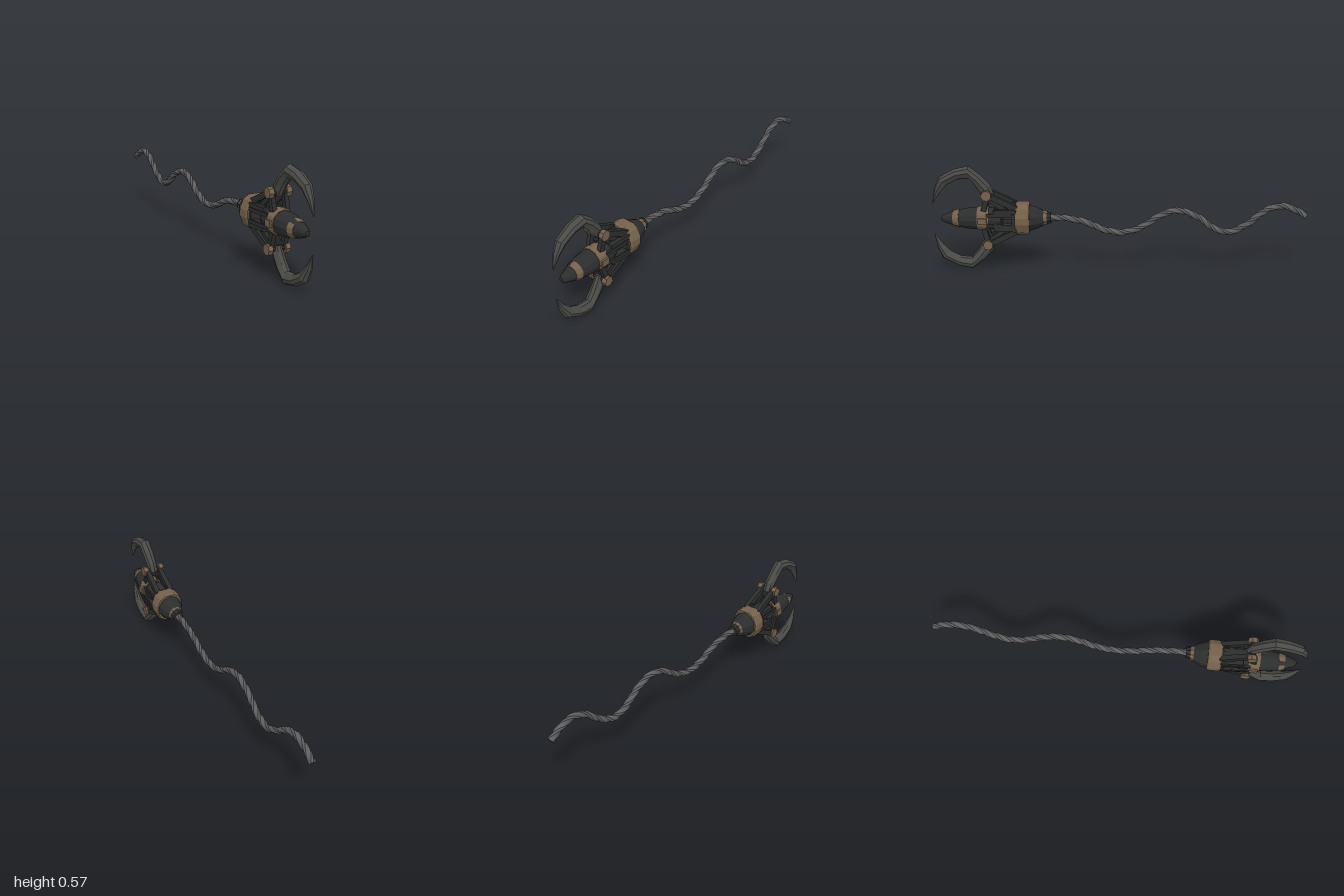
import * as THREE from 'three';

const mat = (name, color, double) => {
  const m = new THREE.MeshStandardMaterial({ color, flatShading: true });
  m.name = name;
  if (double) m.side = THREE.DoubleSide;
  return m;
};

export function createModel() {
  const dark = mat('dark iron', 0x2c2d2d);
  const steel = mat('claw steel', 0x4a4b47);
  const bronze = mat('worn bronze', 0x74614a, true);
  const cord = mat('rope grey', 0x5e5e60);

  const root = new THREE.Group();
  root.name = 'grapplingHook';
  const head = new THREE.Group();
  head.name = 'hookHead';
  head.position.y = 0.288;
  root.add(head);

  const add = (parent, name, geo, material) => {
    const m = new THREE.Mesh(geo, material);
    m.name = name;
    parent.add(m);
    return m;
  };

  // Turned part along z from [z, radius] pairs
  const turned = (pairs, sides = 10, start = 0, arc = Math.PI * 2) =>
    new THREE.LatheGeometry(pairs.map(([z, r]) => new THREE.Vector2(r, z)), sides, start, arc).rotateX(Math.PI / 2);

  // Skin over rings of points, counter-clockwise about the direction of travel
  const loft = (rings) => {
    const pos = [];
    const tri = (...ps) => ps.forEach((p) => pos.push(p.x, p.y, p.z));
    const n = rings[0].length;
    for (let i = 0; i < rings.length - 1; i++) {
      for (let j = 0; j < n; j++) {
        const k = (j + 1) % n;
        const [a, b, c, d] = [rings[i][j], rings[i][k], rings[i + 1][k], rings[i + 1][j]];
        tri(a, b, c);
        tri(a, c, d);
      }
    }
    const last = rings[rings.length - 1];
    for (let j = 1; j < n - 1; j++) {
      tri(rings[0][0], rings[0][j + 1], rings[0][j]);
      tri(last[0], last[j], last[j + 1]);
    }
    const g = new THREE.BufferGeometry();
    g.setAttribute('position', new THREE.Float32BufferAttribute(pos, 3));
    g.computeVertexNormals();
    return g;
  };

  // Square bar between two points
  const bar = (parent, name, a, b, w, h, material) => {
    const A = new THREE.Vector3(...a), B = new THREE.Vector3(...b);
    const m = add(parent, name, new THREE.BoxGeometry(w, h, A.distanceTo(B)), material);
    m.position.copy(A).add(B).multiplyScalar(0.5);
    m.quaternion.setFromUnitVectors(new THREE.Vector3(0, 0, 1), B.sub(A).normalize());
    return m;
  };

  // Three-strand twisted rope
  const path = new THREE.CatmullRomCurve3([
    [0.288, 0.42], [0.289, 0.33], [0.268, 0.2], [0.218, 0.08], [0.206, -0.02], [0.238, -0.12], [0.303, -0.22],
    [0.326, -0.31], [0.293, -0.41], [0.223, -0.51], [0.206, -0.59], [0.248, -0.68], [0.326, -0.78],
    [0.35, -0.86], [0.327, -0.94], [0.292, -0.995],
  ].map(([y, z]) => new THREE.Vector3(0, y, z)));
  const ropeRings = [];
  const side = new THREE.Vector3(1, 0, 0);
  for (let i = 0; i <= 130; i++) {
    const p = path.getPointAt(i / 130);
    const up = path.getTangentAt(i / 130).cross(side);
    ropeRings.push(Array.from({ length: 9 }, (_, j) => {
      const a = (j / 9) * Math.PI * 2 + i * 0.29;
      const r = j % 3 ? 0.0185 : 0.0145;
      return p.clone().addScaledVector(side, Math.cos(a) * r).addScaledVector(up, Math.sin(a) * r);
    }));
  }
  add(root, 'rope', loft(ropeRings), cord);

  // Rear socket
  add(head, 'ropeSleeve', turned([[0.37, 0], [0.37, 0.03], [0.4, 0.036], [0.4, 0]]), dark);
  add(head, 'rearCollar', turned([[0.392, 0], [0.392, 0.038], [0.415, 0.043], [0.415, 0]]), bronze);
  add(head, 'rearCone', turned([[0.41, 0], [0.41, 0.042], [0.445, 0.06], [0.485, 0.072], [0.575, 0.07], [0.575, 0]]), dark);

  // Faceted bronze band
  const quarter = [[0.082, 0.018], [0.062, 0.064], [0.032, 0.083]];
  const outline = [
    ...quarter, ...quarter.map(([x, y]) => [-x, y]).reverse(),
    ...quarter.map(([x, y]) => [-x, -y]), ...quarter.map(([x, y]) => [x, -y]).reverse(),
  ].map(([x, y]) => new THREE.Vector2(x, y));
  add(head, 'mainBand', new THREE.ExtrudeGeometry(new THREE.Shape(outline), {
    depth: 0.055, bevelEnabled: true, bevelThickness: 0.01, bevelSize: 0.006, bevelOffset: -0.006, bevelSegments: 1,
  }).translate(0, 0, 0.493), bronze);

  // Open cage behind the nose
  for (const sx of [-1, 1]) for (const sy of [-1, 1]) {
    bar(head, 'cageBar', [sx * 0.052, sy * 0.04, 0.55], [sx * 0.045, sy * 0.038, 0.67], 0.03, 0.04, dark);
    bar(head, 'cageRib', [sx * 0.066, sy * 0.03, 0.56], [sx * 0.056, sy * 0.028, 0.71], 0.012, 0.018, dark);
  }

  // Nose
  add(head, 'nose', turned([
    [0.632, 0], [0.632, 0.052], [0.66, 0.062], [0.7, 0.058], [0.77, 0.061], [0.81, 0.058],
    [0.86, 0.048], [0.895, 0.038], [0.94, 0.022], [0.955, 0.012], [0.957, 0],
  ], 12), dark);
  add(head, 'noseBand', turned([[0.7, 0.055], [0.7, 0.065], [0.715, 0.068], [0.748, 0.067], [0.76, 0.063], [0.76, 0.055]], 12), bronze);
  for (const phi of [0.25, 1.25]) {
    add(head, 'nosePatch', turned([[0.858, 0.045], [0.859, 0.0505], [0.892, 0.041], [0.893, 0.036]], 5,
      phi * Math.PI, Math.PI * 5 / 6), bronze);
  }
  for (const sx of [-1, 1]) {
    const lug = add(head, 'sideLug', new THREE.BoxGeometry(0.014, 0.034, 0.045), bronze);
    lug.position.set(sx * 0.066, 0, 0.73);
  }

  // Claw stations: outer [y, z], inner [y, z], half width
  const stations = [
    [[0.135, 0.672], [0.115, 0.728], 0.024],
    [[0.185, 0.69], [0.135, 0.742], 0.028],
    [[0.24, 0.742], [0.182, 0.772], 0.031],
    [[0.286, 0.8], [0.218, 0.802], 0.032],
    [[0.27, 0.875], [0.212, 0.862], 0.031],
    [[0.226, 0.958], [0.186, 0.914], 0.027],
    [[0.165, 0.985], [0.144, 0.955], 0.017],
    [[0.088, 1.0], [0.086, 0.994], 0.003],
  ];
  const clawRings = stations.map(([o, n, w]) => {
    const at = (t, x) => new THREE.Vector3(x, o[0] + (n[0] - o[0]) * t, o[1] + (n[1] - o[1]) * t);
    return [at(0, 0), at(0.18, -w * 0.75), at(0.5, -w), at(0.9, -w * 0.5),
      at(1, 0), at(0.9, w * 0.5), at(0.5, w), at(0.18, w * 0.75)];
  });
  const clawGeo = loft(clawRings);

  // Two hinged arms, top and bottom
  for (const [name, turn] of [['upperArm', 0], ['lowerArm', Math.PI]]) {
    const arm = new THREE.Group();
    arm.name = name;
    arm.rotation.z = turn;
    head.add(arm);
    add(arm, 'claw', clawGeo, steel);
    for (const sx of [-1, 1]) {
      bar(arm, 'rearStrut', [sx * 0.04, 0.062, 0.55], [sx * 0.038, 0.138, 0.705], 0.026, 0.03, dark);
      bar(arm, 'innerStrut', [sx * 0.032, 0.045, 0.6], [sx * 0.032, 0.115, 0.7], 0.016, 0.024, dark);
      bar(arm, 'frontLink', [sx * 0.036, 0.05, 0.725], [sx * 0.036, 0.125, 0.705], 0.022, 0.028, dark);
      const knuckle = add(arm, 'knuckle', new THREE.CylinderGeometry(0.027, 0.029, 0.026, 7).rotateZ(Math.PI / 2), bronze);
      knuckle.position.set(sx * 0.048, 0.136, 0.706);
      const foot = add(arm, 'strutFoot', new THREE.BoxGeometry(0.03, 0.022, 0.04), dark);
      foot.position.set(sx * 0.036, 0.068, 0.575);
    }
    const pin = add(arm, 'hingePin', new THREE.CylinderGeometry(0.016, 0.016, 0.11, 8).rotateZ(Math.PI / 2), dark);
    pin.position.set(0, 0.136, 0.706);
    const plate = add(arm, 'cagePlate', new THREE.BoxGeometry(0.07, 0.016, 0.12), dark);
    plate.position.set(0, 0.055, 0.61);
  }
  return root;
}
